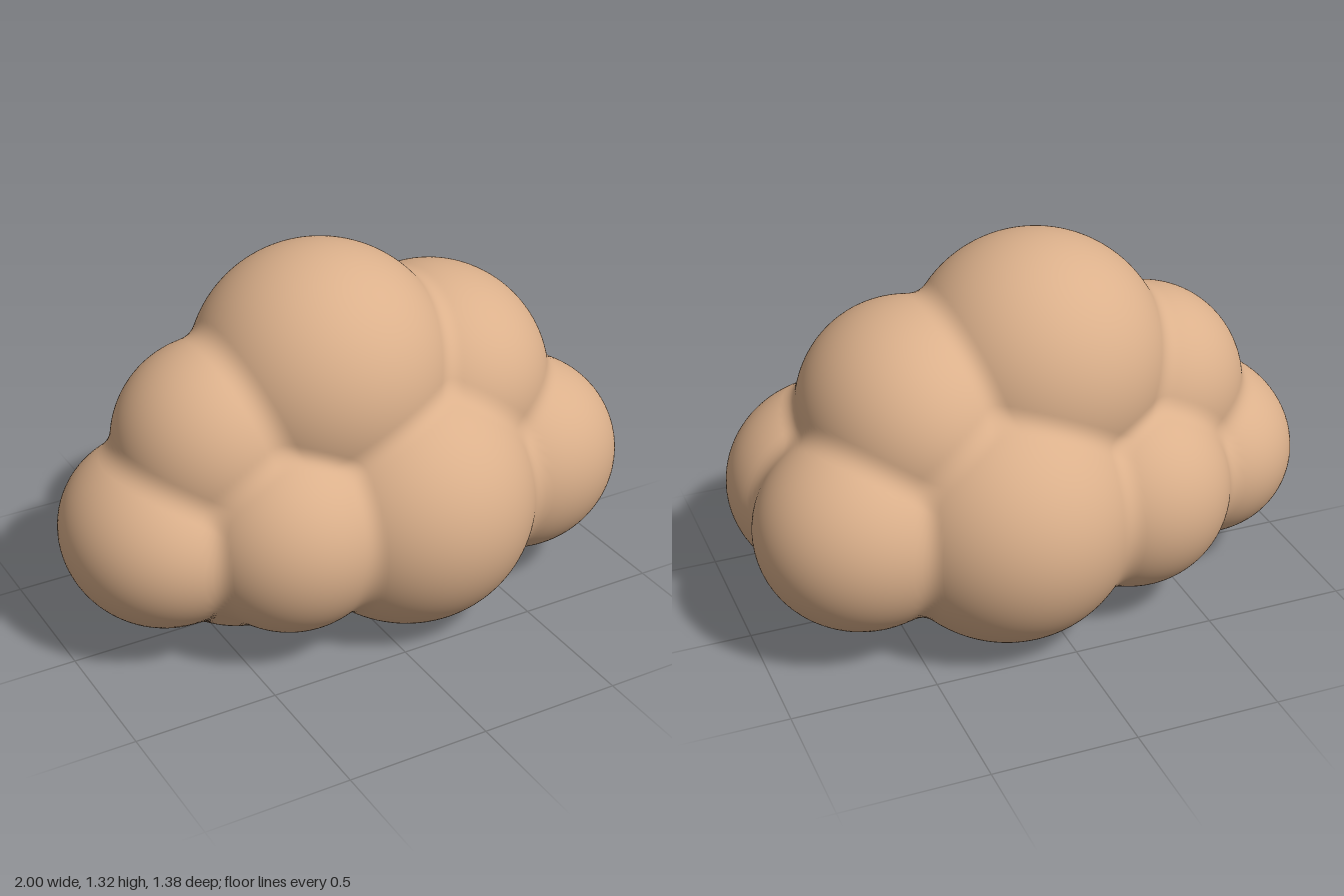
import * as THREE from 'three';

// Puffs: centre [x, y, z] and radii [rx, ry, rz]; those off the middle plane are mirrored in z.
const PUFFS = [
  { c: [-0.05, 0.87, 0], r: [0.45, 0.45, 0.455] },     // crown
  { c: [0.40, 0.76, 0], r: [0.385, 0.385, 0.43] },     // upper left shoulder
  { c: [-0.45, 0.71, 0], r: [0.35, 0.355, 0.345] },    // upper right shoulder
  { c: [-0.66, 0.43, 0], r: [0.34, 0.32, 0.375] },     // single end
  { c: [-0.38, 0.39, 0], r: [0.375, 0.372, 0.375] },   // underside
  { c: [0.63, 0.46, 0.17], r: [0.37, 0.35, 0.35] },    // paired end
  { c: [0.15, 0.455, 0.22], r: [0.45, 0.452, 0.47] },  // large belly
  { c: [-0.30, 0.45, 0.235], r: [0.35, 0.35, 0.35] },  // small belly
].flatMap(({ c, r }) => (c[2] ? [{ c, r }, { c: [c[0], c[1], -c[2]], r }] : [{ c, r }]));

const BLEND = 0.045;

// Approximate signed distance to one ellipsoid
function puffDistance({ c, r }, x, y, z) {
  const px = (x - c[0]) / r[0], py = (y - c[1]) / r[1], pz = (z - c[2]) / r[2];
  const k0 = Math.hypot(px, py, pz);
  const k1 = Math.hypot(px / r[0], py / r[1], pz / r[2]);
  return k1 < 1e-6 ? -Math.min(...r) : (k0 * (k0 - 1)) / k1;
}

// Union of all puffs with softly filled creases
function cloudDistance(x, y, z) {
  let d = 10;
  for (const puff of PUFFS) {
    const e = puffDistance(puff, x, y, z);
    const h = Math.max(BLEND - Math.abs(d - e), 0) / BLEND;
    d = Math.min(d, e) - h * h * BLEND * 0.25;
  }
  return d;
}

// Shrink-wrap a sphere onto the blended puffs
function cloudGeometry() {
  const geometry = new THREE.SphereGeometry(1, 300, 220);
  const pos = geometry.attributes.position, nor = geometry.attributes.normal;
  const origin = new THREE.Vector3(0, 0.5, 0);
  const dir = new THREE.Vector3(), p = new THREE.Vector3(), n = new THREE.Vector3();
  const e = 0.002;
  for (let i = 0; i < pos.count; i++) {
    dir.fromBufferAttribute(pos, i).normalize();
    let t = 1.3;
    for (let step = 0; step < 90; step++) {
      p.copy(origin).addScaledVector(dir, t);
      const d = cloudDistance(p.x, p.y, p.z);
      t -= d * 0.8;
      if (Math.abs(d) < 1e-4) break;
    }
    p.copy(origin).addScaledVector(dir, t);
    n.set(
      cloudDistance(p.x + e, p.y, p.z) - cloudDistance(p.x - e, p.y, p.z),
      cloudDistance(p.x, p.y + e, p.z) - cloudDistance(p.x, p.y - e, p.z),
      cloudDistance(p.x, p.y, p.z + e) - cloudDistance(p.x, p.y, p.z - e),
    ).normalize();
    pos.setXYZ(i, p.x, p.y, p.z);
    nor.setXYZ(i, n.x, n.y, n.z);
  }
  return geometry;
}

export function createModel() {
  const group = new THREE.Group();
  group.name = 'cloud';
  const tan = new THREE.MeshStandardMaterial({ color: 0xdbb08b });
  tan.name = 'warm tan';
  const body = new THREE.Mesh(cloudGeometry(), tan);
  body.name = 'cloudBody';
  group.add(body);
  return group;
}
